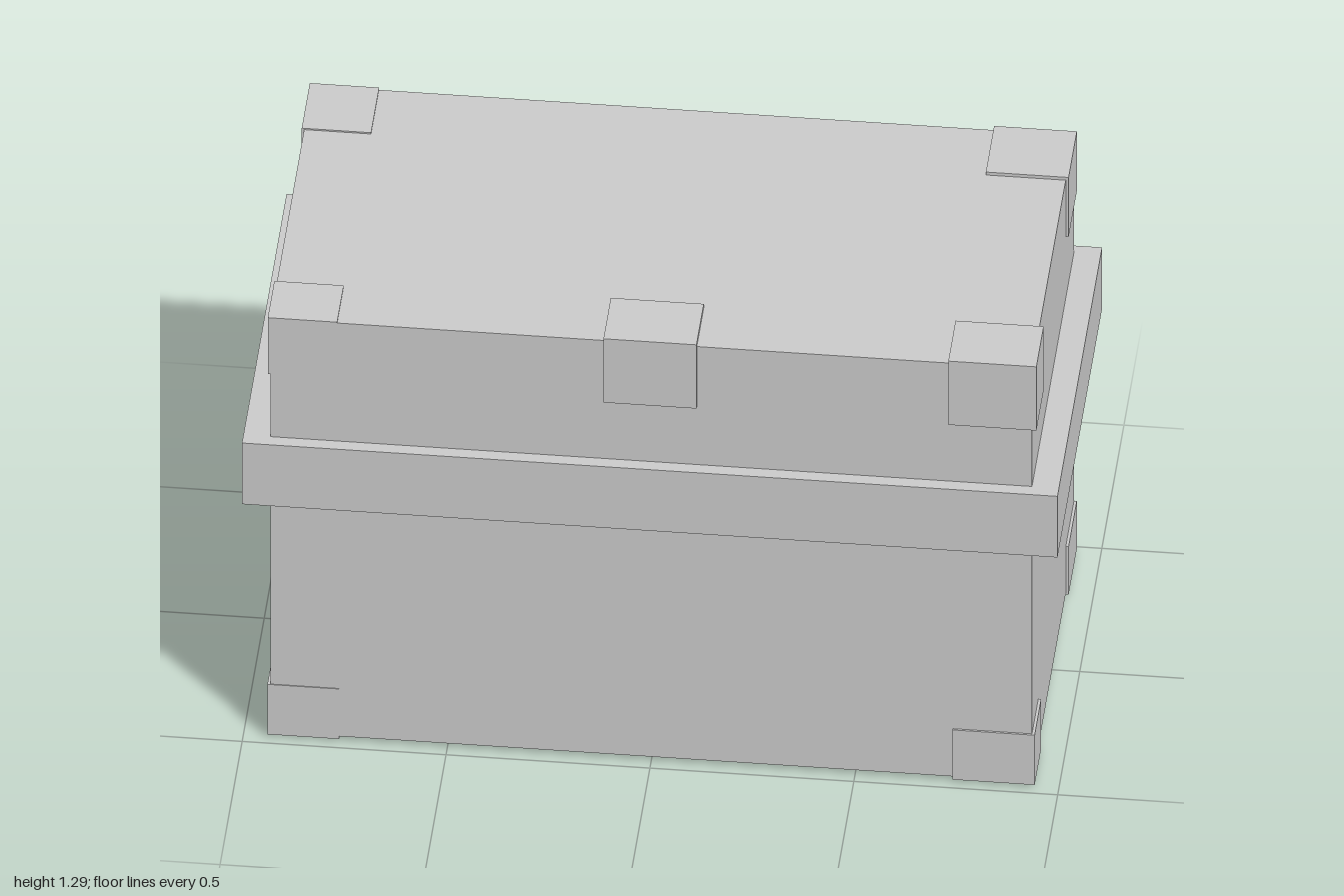
import * as THREE from 'three';

export function createModel() {
  const chest = new THREE.Group();
  chest.name = 'chest';
  const material = new THREE.MeshStandardMaterial({ color: 0xcccccc, flatShading: true });

  // Box given by its extents on each axis
  function box(name, [x0, x1], [y0, y1], [z0, z1]) {
    const mesh = new THREE.Mesh(new THREE.BoxGeometry(x1 - x0, y1 - y0, z1 - z0), material);
    mesh.position.set((x0 + x1) / 2, (y0 + y1) / 2, (z0 + z1) / 2);
    mesh.name = name;
    chest.add(mesh);
  }

  // Body with lid, and the rim band around it
  box('body', [-0.934, 0.934], [0.014, 1.278], [-0.474, 0.472]);
  box('rimBand', [-1, 1], [0.73, 0.917], [-0.505, 0.505]);

  // Corner caps on the lid
  box('lidCornerFrontLeft', [0.73, 0.946], [1.098, 1.293], [0.32, 0.484]);
  box('lidCornerBackLeft', [0.738, 0.941], [1.105, 1.287], [-0.479, -0.292]);
  box('lidCornerFrontRight', [-0.94, -0.77], [1.11, 1.282], [0.325, 0.474]);
  box('lidCornerBackRight', [-0.94, -0.77], [1.11, 1.282], [-0.478, -0.295]);

  // Corner caps on the base
  box('baseCornerFrontLeft', [0.74, 0.941], [0.008, 0.16], [0.33, 0.477]);
  box('baseCornerBackLeft', [0.74, 0.941], [0.01, 0.157], [-0.478, -0.293]);
  box('baseCornerFrontRight', [-0.941, -0.765], [0.007, 0.16], [0.33, 0.474]);
  box('baseCornerBackRight', [-0.945, -0.765], [0, 0.165], [-0.483, -0.285]);

  // Latch plate at the middle of the front edge
  box('latchPlate', [-0.116, 0.112], [1.095, 1.29], [0.315, 0.481]);

  return chest;
}
